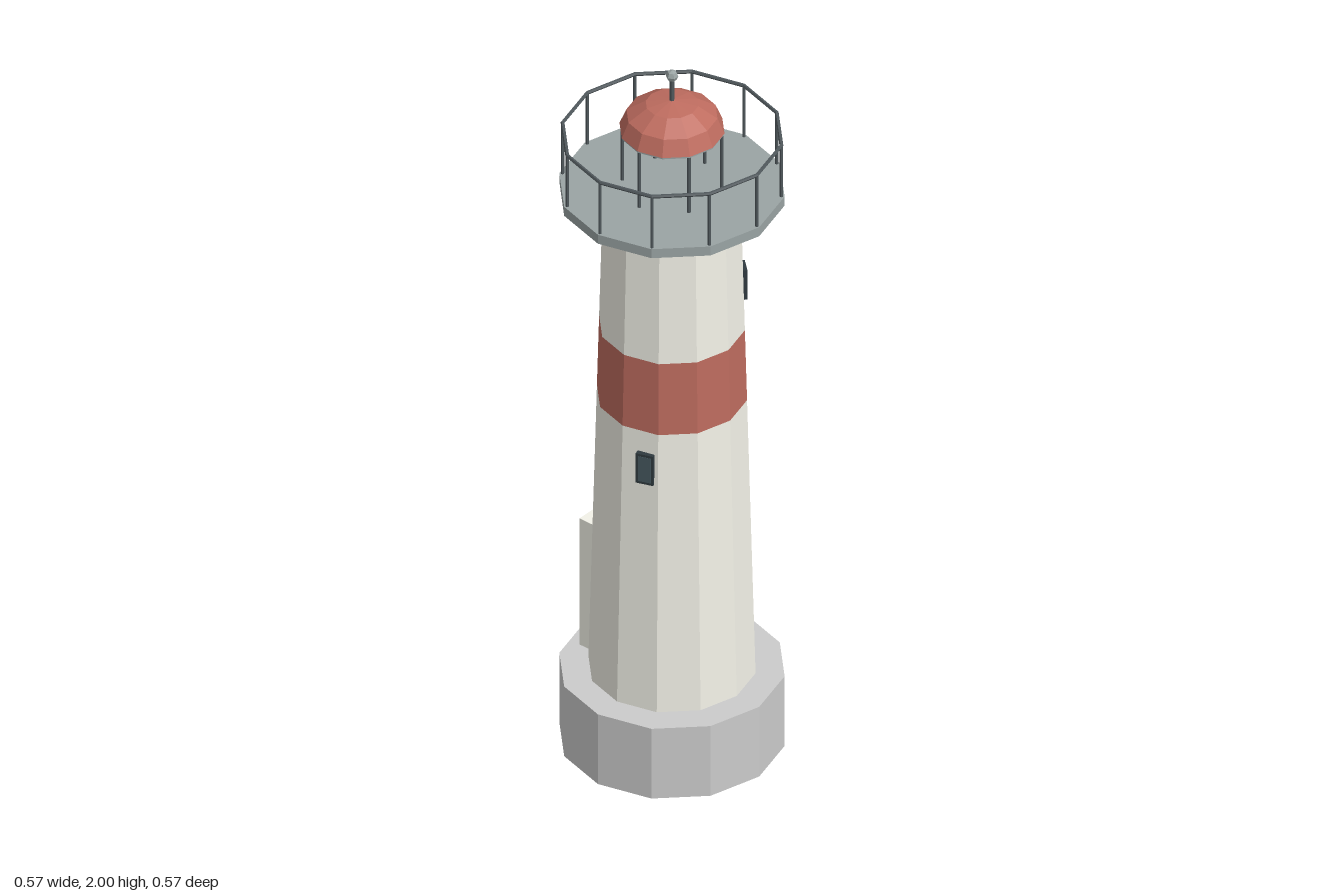
import * as THREE from 'three';

const SIDES = 12;
const paint = (color) => new THREE.MeshStandardMaterial({ color, flatShading: true });
const stone = paint(0xcccccc);
const white = paint(0xf3f2e8);
const red = paint(0xbe6c5f);
const deckGrey = paint(0x9aa4a4);
const steel = paint(0x50585c);
const frameDark = paint(0x2f3a3f);
const glass = paint(0x46585f);
const teal = paint(0x6fa8a0);

function add(parent, name, geometry, material, x = 0, y = 0, z = 0) {
  const mesh = new THREE.Mesh(geometry, material);
  mesh.name = name;
  mesh.position.set(x, y, z);
  parent.add(mesh);
  return mesh;
}

// Upright faceted drum between two heights
function drum(parent, name, material, rBottom, rTop, y0, y1, sides = SIDES) {
  const geometry = new THREE.CylinderGeometry(rTop, rBottom, y1 - y0, sides);
  return add(parent, name, geometry, material, 0, (y0 + y1) / 2, 0);
}

// Tower radius at a given height
const towerRadius = (y) => THREE.MathUtils.mapLinear(y, 0.21, 1.63, 0.21, 0.173);

// Thin uprights spaced evenly on a circle
function uprights(parent, name, count, radius, thickness, y0, y1, startAngle) {
  for (let i = 0; i < count; i++) {
    const a = startAngle + (i / count) * Math.PI * 2;
    const post = drum(parent, name, steel, thickness, thickness, y0, y1, 6);
    post.position.x = Math.sin(a) * radius;
    post.position.z = Math.cos(a) * radius;
  }
}

function createWindow(degrees, y) {
  const group = new THREE.Group();
  group.name = 'window';
  add(group, 'windowFrame', new THREE.BoxGeometry(0.046, 0.088, 0.022), frameDark);
  add(group, 'windowPane', new THREE.BoxGeometry(0.034, 0.074, 0.004), glass, 0, 0, 0.01);
  const a = THREE.MathUtils.degToRad(degrees);
  const r = towerRadius(y) - 0.006;
  group.position.set(Math.sin(a) * r, y, Math.cos(a) * r);
  group.rotation.y = a;
  return group;
}

// Framed door on the back of the tower
function createDoor() {
  const group = new THREE.Group();
  group.name = 'door';
  for (const side of [-1, 1]) {
    add(group, 'doorJamb', new THREE.BoxGeometry(0.02, 0.38, 0.07), white, side * 0.072, 0.4, -0.195);
  }
  add(group, 'doorLintel', new THREE.BoxGeometry(0.124, 0.035, 0.07), white, 0, 0.5725, -0.195);
  add(group, 'doorPanel', new THREE.BoxGeometry(0.124, 0.345, 0.06), teal, 0, 0.3825, -0.193);
  return group;
}

export function createModel() {
  const model = new THREE.Group();
  model.name = 'lighthouse';

  // Plinth and tapered tower with its painted band
  drum(model, 'base', stone, 0.283, 0.283, 0, 0.21);
  const bands = [
    ['lowerTower', white, 0.21, 1.03],
    ['redBand', red, 1.03, 1.24],
    ['upperTower', white, 1.24, 1.63],
  ];
  for (const [name, material, y0, y1] of bands) {
    drum(model, name, material, towerRadius(y0), towerRadius(y1), y0, y1);
  }

  // Openings
  for (const [degrees, y] of [[49, 1.35], [-70, 0.925], [151, 0.745], [191, 1.495]]) {
    model.add(createWindow(degrees, y));
  }
  model.add(createDoor());

  // Gallery deck and railing
  drum(model, 'galleryDeck', deckGrey, 0.283, 0.283, 1.628, 1.655);
  const railing = new THREE.Group();
  railing.name = 'railing';
  uprights(railing, 'railPost', SIDES, 0.275, 0.0045, 1.65, 1.81, 0);
  const rail = add(railing, 'handRail', new THREE.TorusGeometry(0.275, 0.005, 6, SIDES), steel, 0, 1.808, 0);
  rail.rotation.x = Math.PI / 2;
  model.add(railing);

  // Open lantern with domed roof
  const lantern = new THREE.Group();
  lantern.name = 'lantern';
  uprights(lantern, 'lanternPost', 6, 0.125, 0.005, 1.65, 1.825, Math.PI / 6);
  drum(lantern, 'roofUnderside', deckGrey, 0.13, 0.13, 1.821, 1.826);
  const domeShape = new THREE.SphereGeometry(0.132, SIDES, 3, 0, Math.PI * 2, 0, Math.PI / 2);
  const dome = add(lantern, 'dome', domeShape, red, 0, 1.826, 0);
  dome.scale.y = 0.65;
  drum(lantern, 'finialPole', steel, 0.006, 0.006, 1.9, 1.98, 6);
  add(lantern, 'finialBall', new THREE.SphereGeometry(0.016, 6, 4), deckGrey, 0, 1.984, 0);
  model.add(lantern);

  return model;
}
